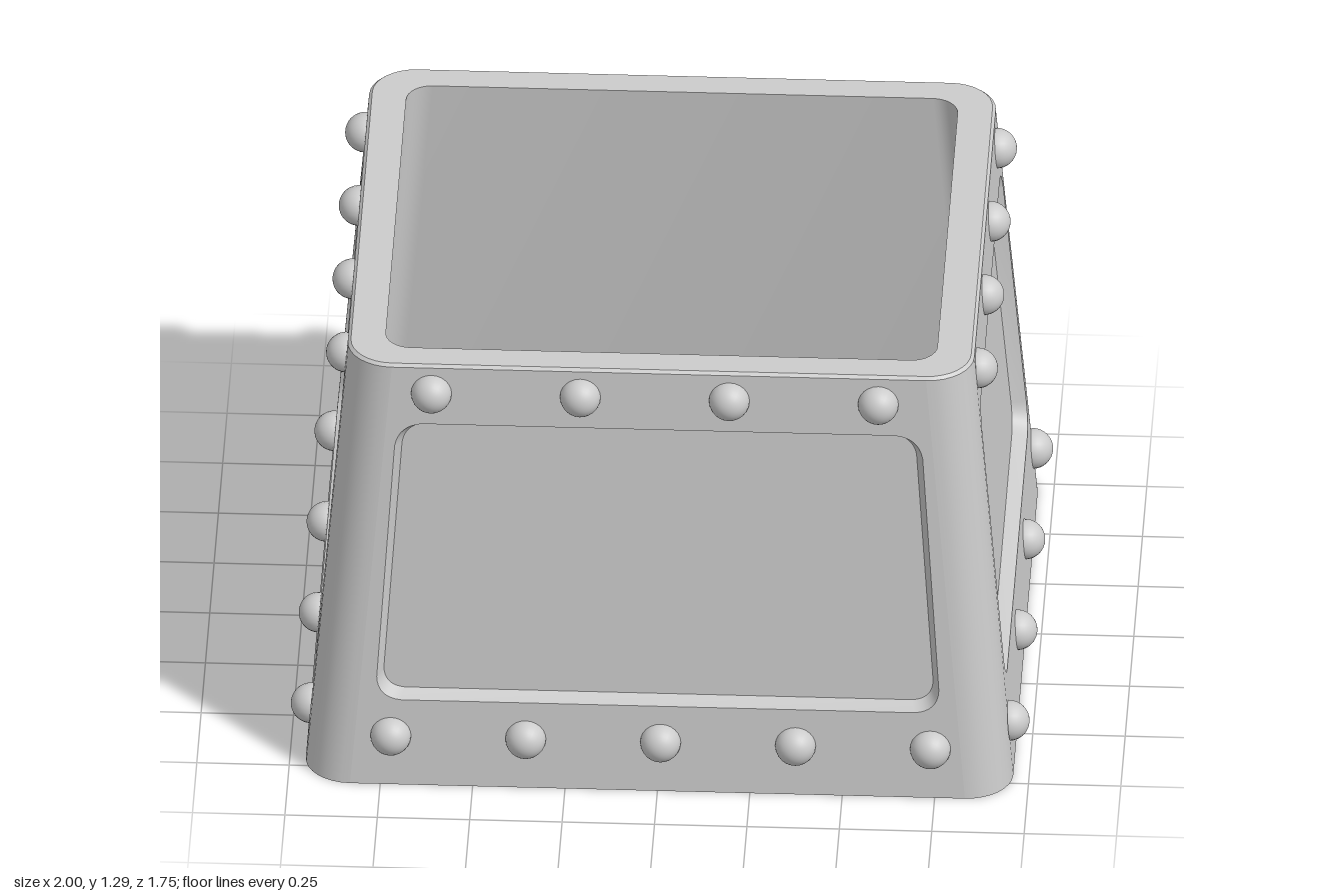
import * as THREE from 'three';
import { toCreasedNormals } from 'three/addons/utils/BufferGeometryUtils.js';

const H = 1.29, BEVEL = 0.008, R = 0.125, N = 8;
const BOTTOM = { x: 0.957, z: 0.832 }, TOP = { x: 0.847, z: 0.743 };
const RECESS = 0.04, RIVET = 0.055;
const lerp = THREE.MathUtils.lerp;
const material = new THREE.MeshStandardMaterial({ color: 0xcccccc });

function mesh(geometry, name) {
  const m = new THREE.Mesh(geometry, material);
  m.name = name;
  return m;
}

// Skin between successive rings of points
function loft(rings, closed = true) {
  const n = rings[0].length, index = [];
  for (let r = 0; r < rings.length - 1; r++) {
    for (let i = 0; i < (closed ? n : n - 1); i++) {
      const j = (i + 1) % n, a = r * n + i, b = r * n + j;
      index.push(a, b, b + n, a, b + n, a + n);
    }
  }
  const g = new THREE.BufferGeometry().setFromPoints(rings.flat());
  g.setIndex(index);
  return toCreasedNormals(g, 0.5);
}

// Horizontal rounded rectangle, N + 1 points per corner
function ring(hx, hz, r, y) {
  const points = [];
  [[1, 1], [-1, 1], [-1, -1], [1, -1]].forEach(([sx, sz], k) => {
    for (let i = 0; i <= N; i++) {
      const a = (k + i / N) * Math.PI / 2;
      points.push(new THREE.Vector3(
        sx * (hx - r) + r * Math.cos(a), y, -(sz * (hz - r) + r * Math.sin(a))));
    }
  });
  return points;
}

const center = y => Array.from({ length: 4 * (N + 1) }, () => new THREE.Vector3(0, y, 0));

// Symmetric trapezoid outline with rounded corners, counterclockwise
function panelOutline(wBottom, wTop, y0, y1, r) {
  const c = [[-wBottom, y0], [wBottom, y0], [wTop, y1], [-wTop, y1]]
    .map(p => new THREE.Vector2(...p));
  return c.flatMap((p, i) => {
    const toward = q => p.clone().add(q.clone().sub(p).setLength(r));
    const before = toward(c[(i + 3) % 4]), after = toward(c[(i + 1) % 4]);
    const mid = p.clone().lerp(before.clone().add(after).multiplyScalar(0.5), 0.18);
    return new THREE.QuadraticBezierCurve(before, mid, after).getPoints(8);
  });
}

// One sloping side: frame, recessed panel and two rows of rivets
function createSide(name, o) {
  const side = new THREE.Group();
  side.name = name;
  const tilt = Math.atan((o.dBottom - o.dTop) / H);
  const place = (u, y, depth = 0) => new THREE.Vector3(
    u, y - depth * Math.sin(tilt), lerp(o.dBottom, o.dTop, y / H) - depth * Math.cos(tilt));
  const flat = (shape, depth) => {
    const g = new THREE.ShapeGeometry(shape), p = g.attributes.position;
    for (let i = 0; i < p.count; i++) {
      p.setXYZ(i, ...place(p.getX(i), p.getY(i), depth).toArray());
    }
    g.computeVertexNormals();
    return g;
  };

  const yTop = H - BEVEL, b = o.wBottom - R, t = lerp(o.wBottom, o.wTop, yTop / H) - R;
  const outer = panelOutline(o.panel[0], o.panel[1], 0.26, 1.11, 0.07);
  const inner = panelOutline(o.panel[0] - 0.018, o.panel[1] - 0.018, 0.278, 1.092, 0.06);
  const frame = new THREE.Shape([[-b, 0], [b, 0], [t, yTop], [-t, yTop]]
    .map(p => new THREE.Vector2(...p)));
  frame.holes.push(new THREE.Path(outer));
  side.add(mesh(flat(frame, 0), 'sideFrame'));
  side.add(mesh(flat(new THREE.Shape(inner), RECESS), 'recessedPanel'));
  side.add(mesh(loft([
    outer.map(p => place(p.x, p.y)),
    inner.map(p => place(p.x, p.y, RECESS)),
  ]), 'recessEdge'));

  const dome = new THREE.SphereGeometry(RIVET, 24, 10, 0, Math.PI * 2, 0, Math.PI / 2);
  for (const row of o.rows) {
    for (let i = 0; i < row.count; i++) {
      const rivet = mesh(dome, 'rivet');
      const u = (i - (row.count - 1) / 2) * row.step + row.shift * o.sign;
      rivet.position.copy(place(u, row.y));
      rivet.rotation.x = Math.PI / 2 - tilt;
      side.add(rivet);
    }
  }
  side.rotation.y = o.turn;
  return side;
}

export function createModel() {
  const model = new THREE.Group();
  model.name = 'rivetedContainer';

  // Underside, corner posts, then rim with hollow interior
  const base = ring(BOTTOM.x, BOTTOM.z, R, 0);
  const k = (H - BEVEL) / H;
  const shoulder = ring(lerp(BOTTOM.x, TOP.x, k), lerp(BOTTOM.z, TOP.z, k), R, H - BEVEL);
  model.add(mesh(loft([center(0), base]), 'underside'));
  for (let c = 0; c < 4; c++) {
    const part = r => r.slice(c * (N + 1), (c + 1) * (N + 1));
    model.add(mesh(loft([part(base), part(shoulder)], false), 'cornerPost'));
  }
  model.add(mesh(loft([
    shoulder,
    ring(TOP.x - BEVEL, TOP.z - BEVEL, R - BEVEL, H),
    ring(0.746, 0.655, 0.07, H),
    ring(0.847, 0.737, 0.07, 0.1),
    center(0.1),
  ]), 'rimAndInterior'));

  // Wide sides at front and back, narrower ones at left and right
  const wide = {
    wBottom: BOTTOM.x, wTop: TOP.x, dBottom: BOTTOM.z, dTop: TOP.z, panel: [0.765, 0.71],
    rows: [
      { y: 0.15, count: 5, step: 0.365, shift: 0.008 },
      { y: 1.205, count: 4, step: 0.403, shift: -0.011 },
    ],
  };
  const narrow = {
    wBottom: BOTTOM.z, wTop: TOP.z, dBottom: BOTTOM.x, dTop: TOP.x, panel: [0.652, 0.606],
    rows: [
      { y: 0.15, count: 4, step: 0.454, shift: -0.012 },
      { y: 1.212, count: 4, step: 0.367, shift: 0.014 },
    ],
  };
  model.add(createSide('frontSide', { ...wide, turn: 0, sign: 1 }));
  model.add(createSide('backSide', { ...wide, turn: Math.PI, sign: -1 }));
  model.add(createSide('leftSide', { ...narrow, turn: Math.PI / 2, sign: -1 }));
  model.add(createSide('rightSide', { ...narrow, turn: -Math.PI / 2, sign: 1 }));
  return model;
}
